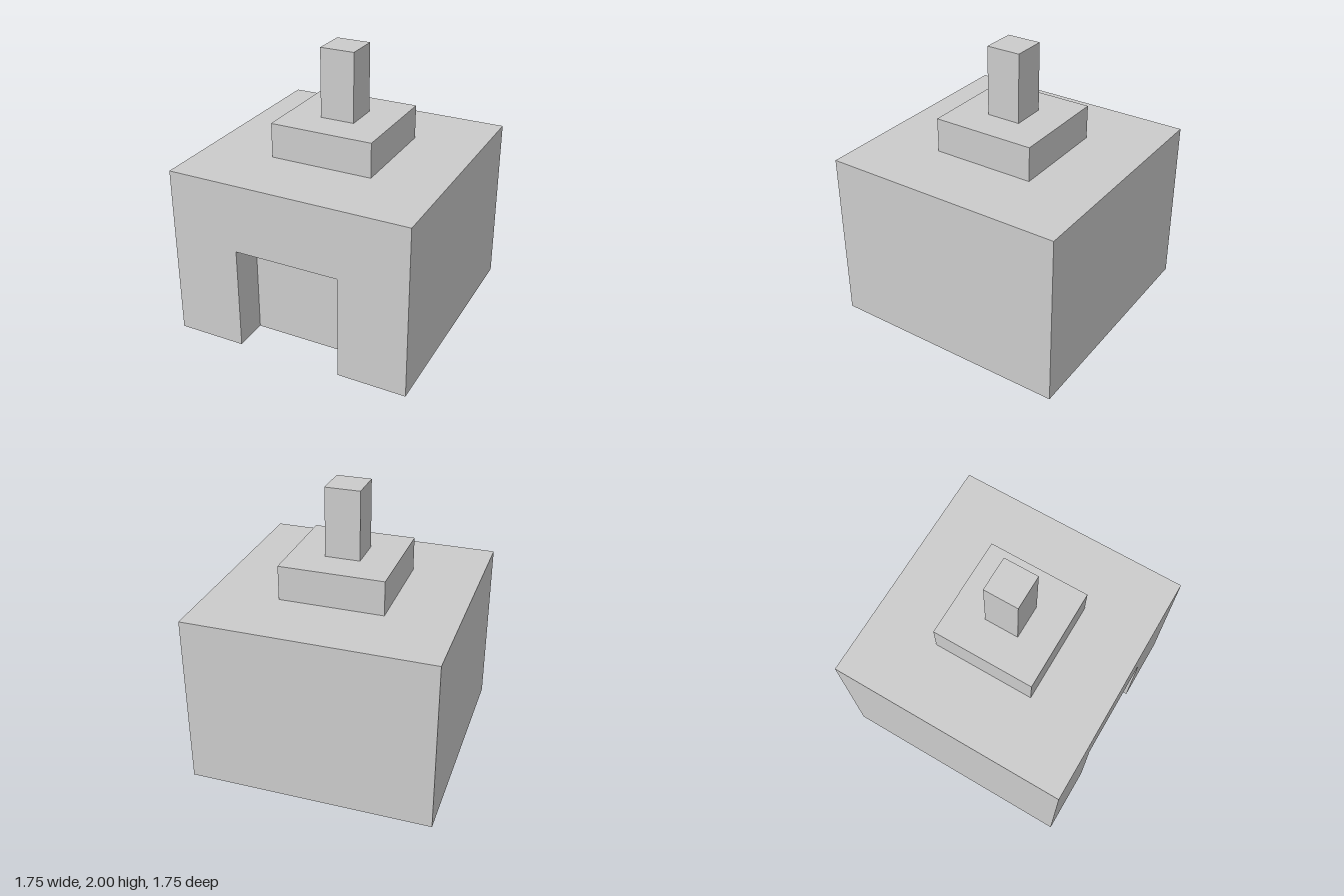
import * as THREE from 'three';
import { mergeGeometries } from 'three/addons/utils/BufferGeometryUtils.js';

const HALF = 0.875, BODY_H = 1.25;               // main block
const DOOR = 0.38, DOOR_H = 0.755, DEPTH = 0.25; // doorway recess
const Q = Math.PI / 2;

const material = new THREE.MeshStandardMaterial({ color: 0xcccccc, flatShading: true });

// Flat rectangle facing +z, turned by rx and ry, then moved into place
function panel(w, h, x, y, z, rx = 0, ry = 0) {
  return new THREE.PlaneGeometry(w, h).rotateX(rx).rotateY(ry).translate(x, y, z);
}

function outline(points) {
  return new THREE.ShapeGeometry(new THREE.Shape(points.map(([x, y]) => new THREE.Vector2(x, y))));
}

// Block with a doorway recess cut into the front, as one closed skin
function bodyGeometry() {
  const backZ = HALF - DEPTH, midZ = HALF - DEPTH / 2;
  const front = outline([
    [-HALF, 0], [-DOOR, 0], [-DOOR, DOOR_H], [DOOR, DOOR_H],
    [DOOR, 0], [HALF, 0], [HALF, BODY_H], [-HALF, BODY_H],
  ]).translate(0, 0, HALF);
  const underside = outline([
    [-HALF, -HALF], [HALF, -HALF], [HALF, HALF], [DOOR, HALF],
    [DOOR, backZ], [-DOOR, backZ], [-DOOR, HALF], [-HALF, HALF],
  ]).rotateX(Q);
  const parts = [
    front,
    underside,
    panel(2 * HALF, BODY_H, 0, BODY_H / 2, -HALF, 0, Math.PI), // back
    panel(2 * HALF, 2 * HALF, 0, BODY_H, 0, -Q),               // roof
    panel(2 * DOOR, DOOR_H, 0, DOOR_H / 2, backZ),             // recess back
    panel(2 * DOOR, DEPTH, 0, DOOR_H, midZ, Q),                // recess ceiling
  ];
  for (const s of [-1, 1]) {
    parts.push(panel(2 * HALF, BODY_H, s * HALF, BODY_H / 2, 0, 0, s * Q)); // outer wall
    parts.push(panel(DEPTH, DOOR_H, s * DOOR, DOOR_H / 2, midZ, 0, -s * Q)); // recess side
  }
  return mergeGeometries(parts);
}

export function createModel() {
  const group = new THREE.Group();
  const add = (name, geometry) => {
    const mesh = new THREE.Mesh(geometry, material);
    mesh.name = name;
    group.add(mesh);
  };

  add('body', bodyGeometry());
  // Stacked square tiers on the roof
  add('roofPlinth', new THREE.BoxGeometry(0.75, 0.25, 0.75).translate(0, 1.375, 0));
  add('roofPost', new THREE.BoxGeometry(0.25, 0.5, 0.25).translate(0, 1.75, 0));
  return group;
}
